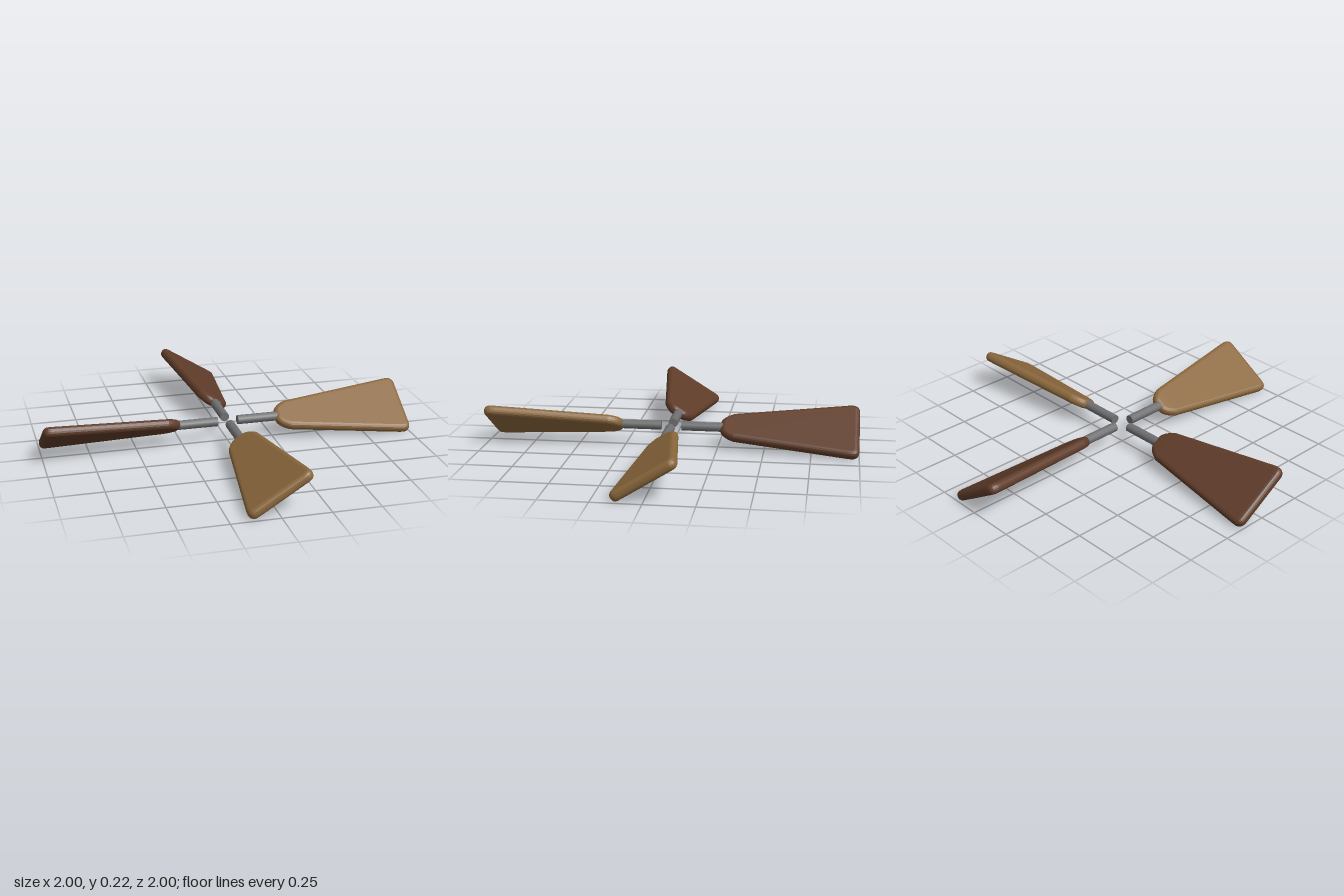
import * as THREE from 'three';

const PITCH = THREE.MathUtils.degToRad(32);
const CENTRE_Y = 0.112;

const material = (name, color) => {
  const m = new THREE.MeshStandardMaterial({ color });
  m.name = name;
  return m;
};

// Tapered paddle outline (x = width, y = distance from hub), extruded with soft edges
function bladeGeometry() {
  const s = new THREE.Shape();
  s.moveTo(-0.03, 0.265);
  s.lineTo(0.03, 0.265);
  s.quadraticCurveTo(0.065, 0.275, 0.09, 0.335);
  s.lineTo(0.18, 0.94);
  s.quadraticCurveTo(0.19, 1.0, 0.14, 1.0);
  s.lineTo(-0.14, 1.0);
  s.quadraticCurveTo(-0.19, 1.0, -0.18, 0.94);
  s.lineTo(-0.09, 0.335);
  s.quadraticCurveTo(-0.065, 0.275, -0.03, 0.265);
  const bevel = 0.024;
  const geo = new THREE.ExtrudeGeometry(s, {
    depth: 0.006, bevelEnabled: true, bevelThickness: bevel, bevelSize: bevel,
    bevelOffset: -bevel, bevelSegments: 4, curveSegments: 6,
  });
  geo.translate(0, 0, -0.003);
  geo.rotateX(Math.PI / 2);
  geo.rotateZ(PITCH);
  return geo;
}

export function createModel() {
  const ochre = material('ochre wood', 0x8a673c);
  const brown = material('dark brown wood', 0x5f3c29);
  const steel = material('grey metal', 0x707072);

  const blade = bladeGeometry();
  const rod = new THREE.CylinderGeometry(0.025, 0.025, 0.245, 12);
  rod.rotateX(Math.PI / 2);
  rod.translate(0, 0, 0.055 + 0.1225);

  const model = new THREE.Group();
  model.name = 'fourBladeRotor';
  // Four arms in turn: front, left, back, right
  ['front', 'left', 'back', 'right'].forEach((side, i) => {
    const arm = new THREE.Group();
    arm.name = side + 'Arm';
    const paddle = new THREE.Mesh(blade, i < 2 ? ochre : brown);
    paddle.name = side + 'Blade';
    const shaft = new THREE.Mesh(rod, steel);
    shaft.name = side + 'Rod';
    arm.add(paddle, shaft);
    arm.position.y = CENTRE_Y;
    arm.rotation.y = i * Math.PI / 2;
    model.add(arm);
  });
  return model;
}
